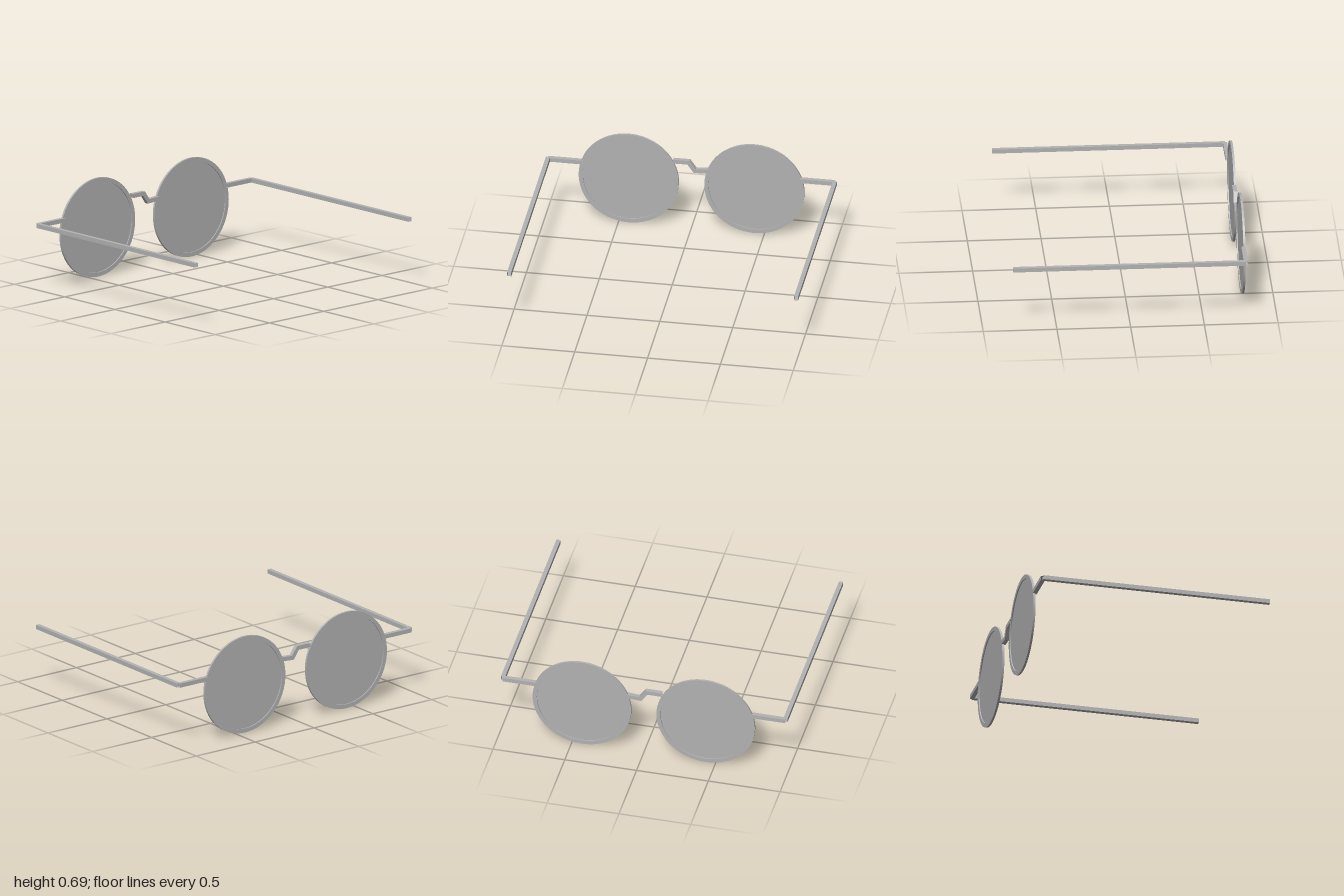
import * as THREE from 'three';
import { toCreasedNormals } from 'three/addons/utils/BufferGeometryUtils.js';

const RIM = { x: 0.431, y: 0.345, outer: 0.343, inner: 0.314, back: -0.797, depth: 0.015 };
const HALF = 0.0145;      // half thickness of the square wire
const WIRE_Z = -0.783;    // depth of the wire pieces across the front
const ARM_Y = 0.446;
const HINGE_X = 0.984;

// Open-ended square wire along a path, with mitred bends in the x-y plane
function squareWire(points) {
  const path = points.map((p) => new THREE.Vector3(...p));
  const zAxis = new THREE.Vector3(0, 0, 1);
  const positions = [];
  const rings = path.map((p, i) => {
    const a = path[Math.max(i - 1, 0)], b = path[Math.min(i + 1, path.length - 1)];
    const dirIn = (i > 0 ? p.clone().sub(a) : b.clone().sub(p)).normalize();
    const dirOut = (i < path.length - 1 ? b.clone().sub(p) : dirIn.clone()).normalize();
    const alongZ = Math.abs(dirIn.z) > 0.9;
    const side = alongZ ? new THREE.Vector3(-Math.sign(dirIn.z), 0, 0) : zAxis;
    const up = alongZ
      ? new THREE.Vector3(0, 1, 0)
      : zAxis.clone().cross(dirIn.clone().add(dirOut).normalize());
    const mitre = alongZ ? 1 : 1 / up.dot(zAxis.clone().cross(dirIn));
    return [[1, 1], [1, -1], [-1, -1], [-1, 1]].map(([u, s]) =>
      p.clone().addScaledVector(up, u * HALF * mitre).addScaledVector(side, s * HALF));
  });
  for (let i = 0; i < rings.length - 1; i++) {
    for (let k = 0; k < 4; k++) {
      const n = (k + 1) % 4;
      const [a, b, c, d] = [rings[i][k], rings[i + 1][k], rings[i + 1][n], rings[i][n]];
      for (const v of [a, c, b, a, d, c]) positions.push(v.x, v.y, v.z);
    }
  }
  // Make sure the walls face outwards
  const geometry = new THREE.BufferGeometry();
  const mid = rings[0].reduce((s, v) => s.add(v), new THREE.Vector3()).multiplyScalar(0.25);
  const [p0, p1, p2] = [0, 3, 6].map((i) => new THREE.Vector3(...positions.slice(i, i + 3)));
  const normal = p1.clone().sub(p0).cross(p2.clone().sub(p0));
  const outward = rings[0][0].clone().add(rings[0][1]).multiplyScalar(0.5).sub(mid);
  if (normal.dot(outward) < 0) {
    for (let i = 0; i < positions.length; i += 9) {
      for (let k = 0; k < 3; k++) {
        [positions[i + 3 + k], positions[i + 6 + k]] = [positions[i + 6 + k], positions[i + 3 + k]];
      }
    }
  }
  geometry.setAttribute('position', new THREE.Float32BufferAttribute(positions, 3));
  geometry.computeVertexNormals();
  return geometry;
}

// Flat ring with a square-edged section
function rimGeometry() {
  const shape = new THREE.Shape().absarc(0, 0, RIM.outer, 0, Math.PI * 2, false);
  shape.holes.push(new THREE.Path().absarc(0, 0, RIM.inner, 0, Math.PI * 2, true));
  const geometry = new THREE.ExtrudeGeometry(shape, {
    depth: RIM.depth, bevelEnabled: false, curveSegments: 64,
  });
  return toCreasedNormals(geometry, 0.6);
}

export function createModel() {
  const model = new THREE.Group();
  model.name = 'glasses';
  const grey = new THREE.MeshStandardMaterial({ color: 0xb2b2b2, side: THREE.DoubleSide });
  grey.name = 'grey';

  const add = (name, geometry, x = 0, y = 0, z = 0) => {
    const mesh = new THREE.Mesh(geometry, grey);
    mesh.name = name;
    mesh.position.set(x, y, z);
    model.add(mesh);
  };

  const rim = rimGeometry();
  const lens = new THREE.CircleGeometry(RIM.inner + 0.002, 64);

  for (const [side, s] of [['left', 1], ['right', -1]]) {
    // Rim with the lens set halfway through it
    add(side + 'Rim', rim, s * RIM.x, RIM.y, RIM.back);
    add(side + 'Lens', lens, s * RIM.x, RIM.y, RIM.back + RIM.depth / 2);
    // End piece from rim to hinge, then the arm
    add(side + 'EndPiece', squareWire([[s * 0.744, ARM_Y, WIRE_Z], [s * HINGE_X, ARM_Y, WIRE_Z]]));
    add(side + 'Arm', squareWire([[s * HINGE_X, ARM_Y, WIRE_Z], [s * HINGE_X, ARM_Y, 0.797]]));
  }

  // Stepped bridge between the rims
  add('bridge', squareWire([
    [-0.124, 0.514, WIRE_Z], [-0.018, 0.514, WIRE_Z],
    [0.025, 0.453, WIRE_Z], [0.118, 0.459, WIRE_Z],
  ]));

  return model;
}
